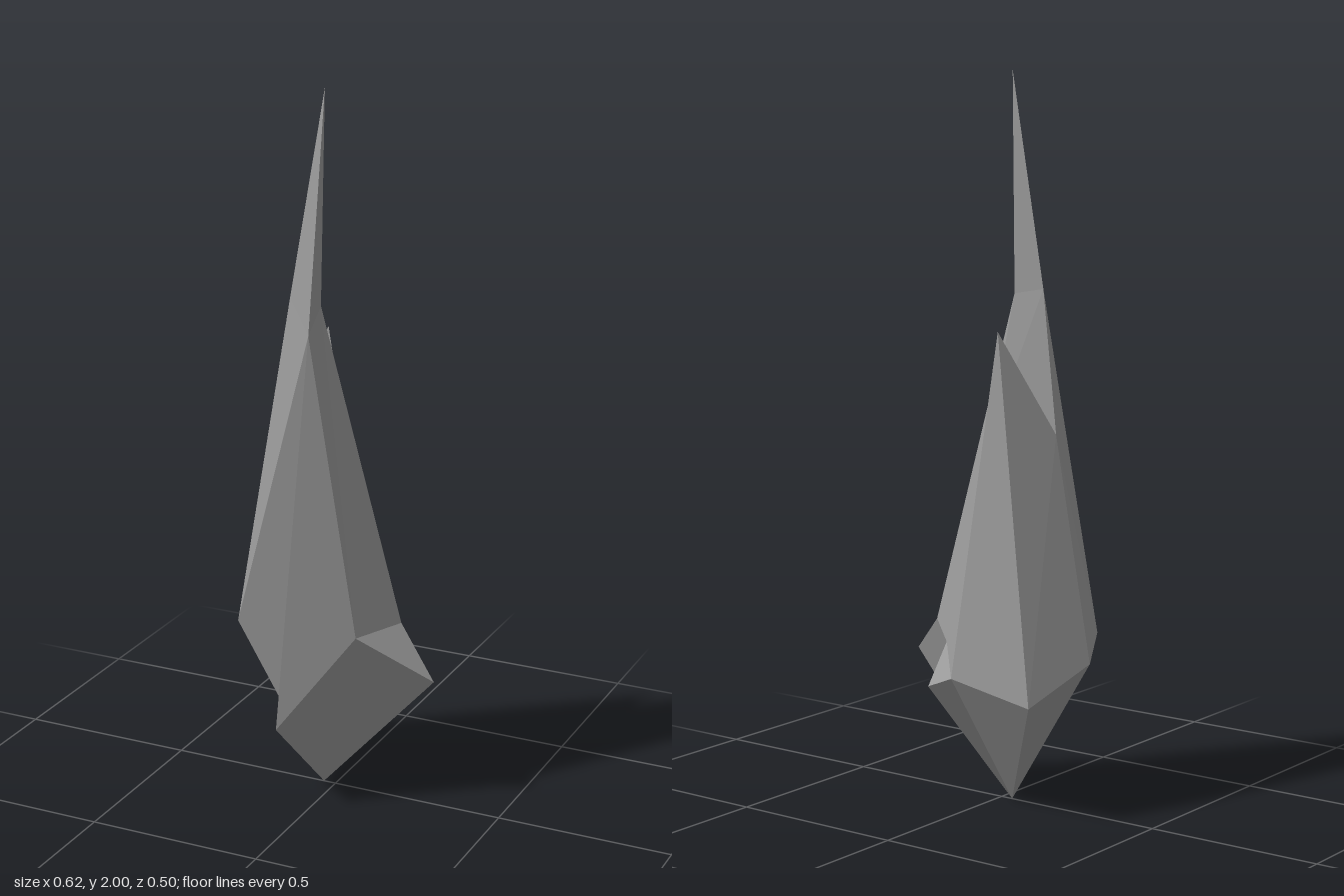
import * as THREE from 'three';

// Corner points of the crystal, one letter each
const P = {
  // pointed foot
  O: [-0.036, 0, 0],
  // girdle, going round
  A: [-0.309, 0.425, -0.02], B: [-0.263, 0.487, 0.082],
  K: [-0.063, 0.26, 0.249], I: [0.137, 0.535, 0.162],
  H: [0.307, 0.38, 0.017], G: [0.168, 0.497, -0.074],
  F: [0.083, 0.455, -0.14], E: [0.061, 0.355, -0.25],
  D: [0, 0.38, -0.228], C: [-0.244, 0.33, -0.21],
  // tall shard: shoulder and tip
  J: [0.026, 1.387, 0.22], N: [-0.129, 1.42, 0.013],
  Q: [-0.043, 1.405, 0], T: [-0.02, 2, 0.022],
  // short shard: valley corners and tip
  M: [-0.193, 1.035, -0.016], R: [0.005, 0.985, -0.065],
  L: [-0.08, 1.313, -0.125],
};

// Facets of each part, corners counter-clockwise seen from outside
const PARTS = {
  tallShardTip: 'JQT JTN TQN',
  tallShardSides: 'JNB IQJ IGQ JKI BNM BMA MNR NQR RQF QGF',
  shortShard: 'CML CLD DLR LMR AMC DRF',
  ledges: 'IHG DFE',
  foot: 'HIO GHO JBO JOK IKO BAO ACO CDO FGO DEO EFO',
};

function facetMesh(name, facets, material) {
  const corners = [...facets.replaceAll(' ', '')].flatMap((c) => P[c]);
  const geometry = new THREE.BufferGeometry();
  geometry.setAttribute('position', new THREE.Float32BufferAttribute(corners, 3));
  geometry.computeVertexNormals(); // unshared corners give flat facets
  const mesh = new THREE.Mesh(geometry, material);
  mesh.name = name;
  return mesh;
}

export function createModel() {
  const group = new THREE.Group();
  group.name = 'crystal';
  const material = new THREE.MeshStandardMaterial({ color: 0x9a9a9a, flatShading: true });
  for (const [name, facets] of Object.entries(PARTS)) group.add(facetMesh(name, facets, material));
  return group;
}
